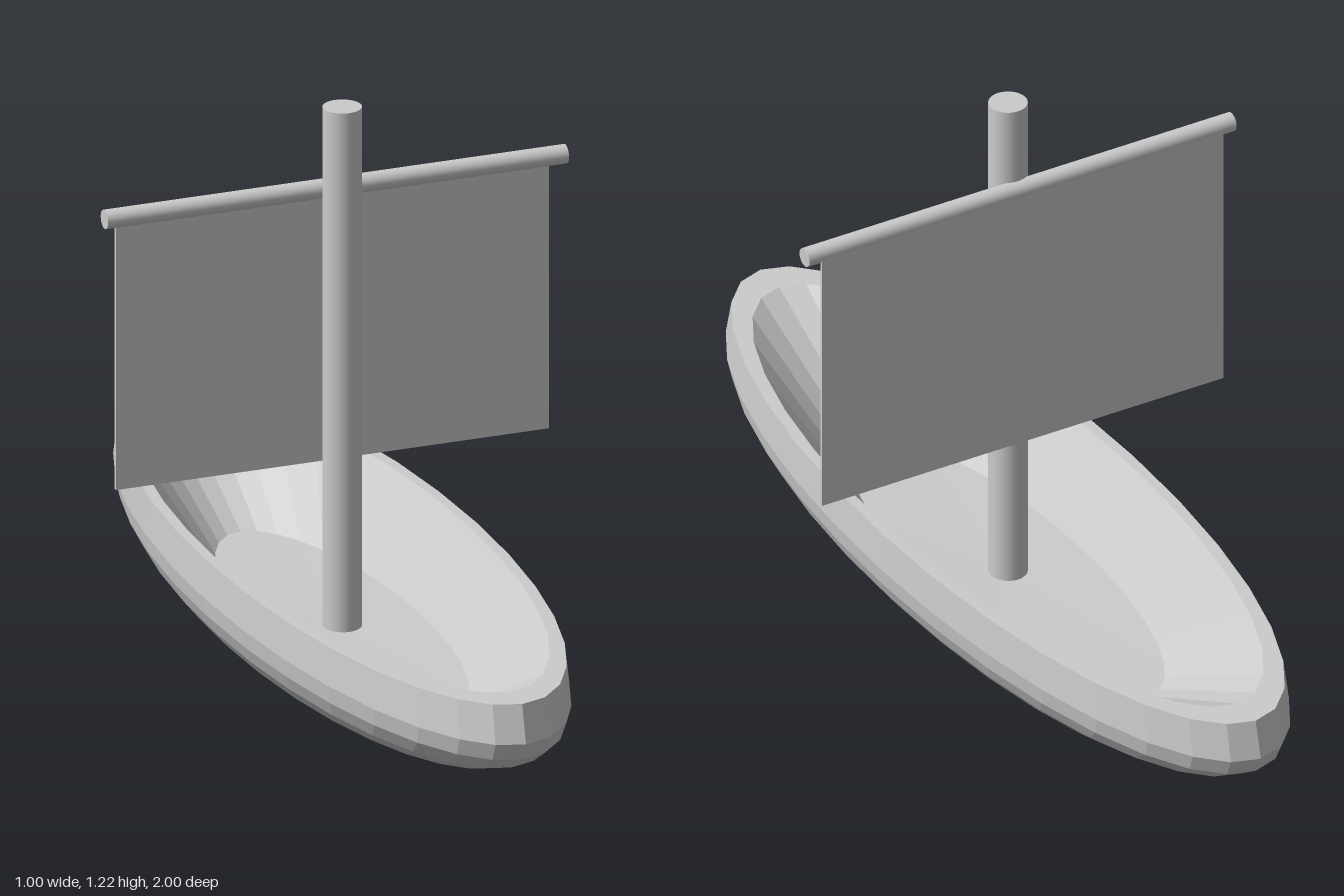
import * as THREE from 'three';

export function createModel() {
  const model = new THREE.Group();
  const smooth = new THREE.MeshStandardMaterial({ color: 0xcccccc });
  const faceted = new THREE.MeshStandardMaterial({ color: 0xcccccc, flatShading: true });

  const add = (name, geometry, material, x, y, z) => {
    const mesh = new THREE.Mesh(geometry, material);
    mesh.name = name;
    mesh.position.set(x, y, z);
    model.add(mesh);
    return mesh;
  };

  // Hull: rounded bowl, flat rim, sloping inner wall and floor, squeezed to a long oval
  const profile = [];
  const rings = 8;
  for (let i = 0; i <= rings; i++) {
    const a = (i / rings) * Math.PI / 2;
    profile.push(new THREE.Vector2(Math.sin(a), 0.2 - 0.2 * Math.cos(a)));
  }
  profile.push(
    new THREE.Vector2(0.98, 0.28),
    new THREE.Vector2(0.905, 0.28),
    new THREE.Vector2(0.555, 0.105),
    new THREE.Vector2(0, 0.1)
  );
  const hull = new THREE.LatheGeometry(profile, 32);
  hull.scale(0.298, 1, 1);
  add('hull', hull, faceted, 0, 0, 0);

  // Mast, standing on the hull floor
  const mastBottom = 0.09, mastTop = 1.22;
  add('mast', new THREE.CylinderGeometry(0.04, 0.04, mastTop - mastBottom, 32),
    smooth, 0, (mastTop + mastBottom) / 2, 0);

  // Yard across the back of the mast
  const yard = new THREE.CylinderGeometry(0.02, 0.02, 1, 20);
  yard.rotateZ(Math.PI / 2);
  add('yard', yard, smooth, 0, 1.033, -0.04);

  // Thin square sail hanging from the yard
  add('sail', new THREE.BoxGeometry(0.94, 0.59, 0.006), smooth, 0, 0.735, -0.056);

  return model;
}
